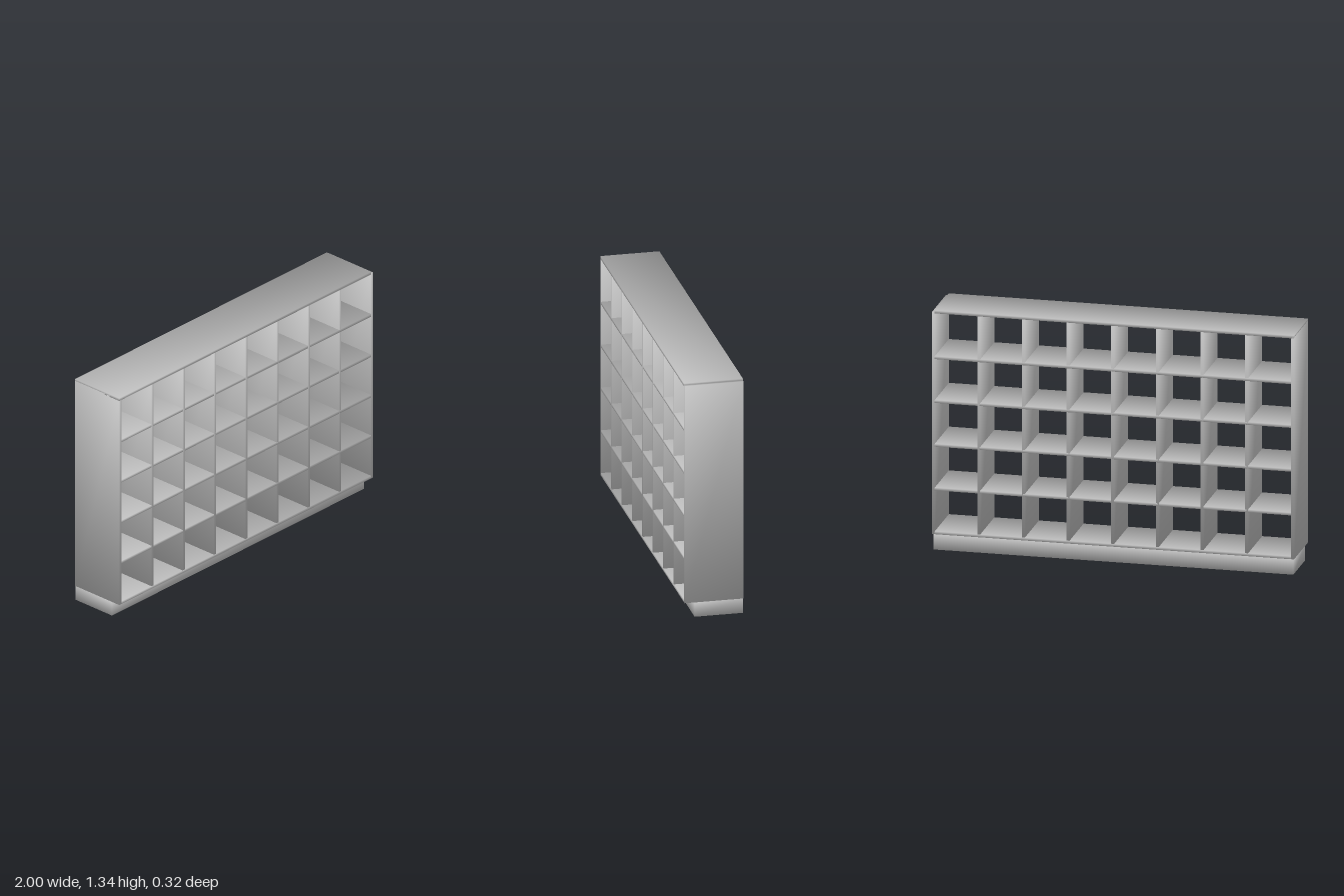
import * as THREE from 'three';
import { mergeVertices } from 'three/addons/utils/BufferGeometryUtils.js';

// Box given by its limits, with normals shared across its eight corners
function softBox(x0, x1, y0, y1, z0, z1) {
  let geo = new THREE.BoxGeometry(x1 - x0, y1 - y0, z1 - z0);
  geo.deleteAttribute('normal');
  geo.deleteAttribute('uv');
  geo = mergeVertices(geo);
  const pos = geo.attributes.position;
  const normals = new Float32Array(pos.count * 3);
  const n = new THREE.Vector3();
  for (let i = 0; i < pos.count; i++) {
    n.set(Math.sign(pos.getX(i)), Math.sign(pos.getY(i)), Math.sign(pos.getZ(i))).normalize();
    n.toArray(normals, i * 3);
  }
  geo.setAttribute('normal', new THREE.BufferAttribute(normals, 3));
  geo.translate((x0 + x1) / 2, (y0 + y1) / 2, (z0 + z1) / 2);
  return geo;
}

export function createModel() {
  const group = new THREE.Group();
  const grey = new THREE.MeshStandardMaterial({ color: 0xc0c0c0 });
  grey.name = 'light grey';

  const add = (name, ...limits) => {
    const mesh = new THREE.Mesh(softBox(...limits), grey);
    mesh.name = name;
    group.add(mesh);
  };

  const columns = 8, rows = 5;
  const t = 0.016;          // board thickness
  const half = 0.1625;      // half of the depth
  const bottom = 0.086, top = 1.342;
  const pitchX = 0.2465, pitchY = 0.2458;

  // Plinth, set back at the front and flush at the back
  add('plinth', -0.996, 0.99, 0, bottom, -half, 0.105);

  // Outer side panels
  add('rightSidePanel', -1, -1 + t, bottom, top - 0.01, -half, half);
  add('leftSidePanel', 1 - t, 1, bottom, top - 0.01, -half, half);

  // Top board ends at the left side panel
  add('topBoard', -1, 1 - t, top - t, top, -half, half);

  // Bottom board and shelves
  for (let r = 0; r < rows; r++) {
    const y = bottom + r * pitchY;
    add(r === 0 ? 'bottomBoard' : 'shelf' + r, -1 + t, 1 - t, y, y + t, -half, half);
  }

  // Upright dividers
  for (let c = 1; c < columns; c++) {
    const x = 0.0015 + (c - columns / 2) * pitchX;
    add('divider' + c, x - t / 2, x + t / 2, bottom + t, top - t, -half, half);
  }
  return group;
}
